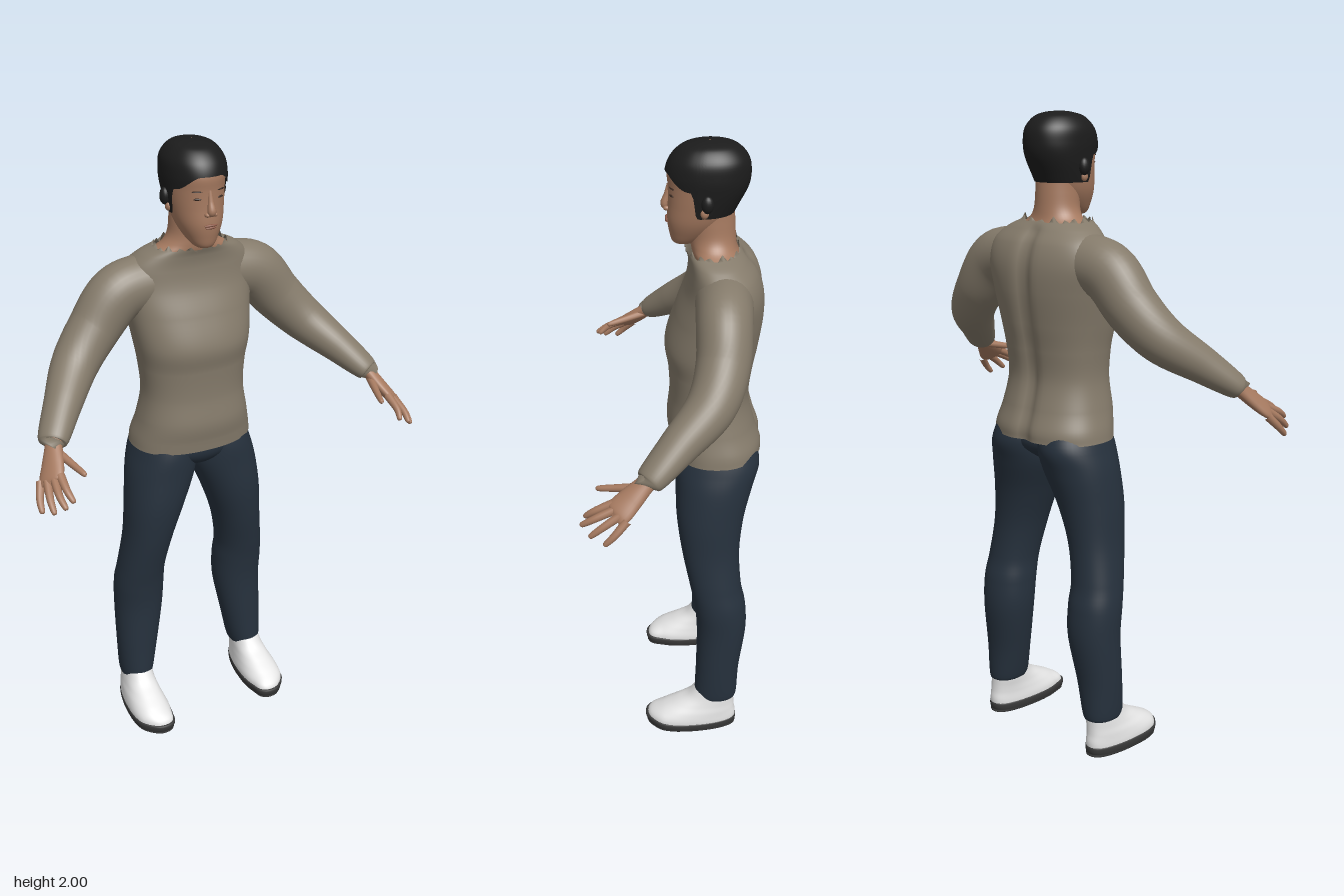
import * as THREE from 'three';
import { ParametricGeometry } from 'three/addons/geometries/ParametricGeometry.js';

const mat = (name, color, side = THREE.FrontSide) => {
  const m = new THREE.MeshStandardMaterial({ color, side });
  m.name = name;
  return m;
};
const V = (x, y, z) => new THREE.Vector3(x, y, z);
const smooth = THREE.MathUtils.smoothstep;
const spline = (pts) => new THREE.CatmullRomCurve3(pts, false, 'catmullrom', 0.5);
const bend = (c, p) => Math.sign(c) * Math.abs(c) ** p;

// Curves through upright body sections: rows of [y, centreX, frontZ, backZ, halfWidth]
const sections = (rows, s = 1) => ({
  mid: spline(rows.map(([y, cx, f, b]) => V(cx * s, y, (f + b) / 2))),
  rad: spline(rows.map(([, , f, b, rx]) => V(rx, 0, (f - b) / 2))),
});

// Point on a section ring; angle 0 faces forward
function ringPoint(sec, t, a, out, power = 1, grow = 0) {
  const c = sec.mid.getPoint(t), r = sec.rad.getPoint(t);
  return out.set(
    c.x + (r.x + grow) * bend(Math.sin(a), power), c.y,
    c.z + (r.z + grow) * bend(Math.cos(a), power));
}

// Upright skin over sections, with an optional rule that moves each point
const loft = (rows, { s = 1, power = 1, nu = 48, nv = 48, warp } = {}) => {
  const sec = sections(rows, s);
  return new ParametricGeometry((u, v, out) => {
    const a = (u - 0.5) * Math.PI * 2;
    ringPoint(sec, v, a, out, power);
    if (warp) warp(out, a, v);
  }, nu, nv);
};

// Limb along a path: rows of [x, y, z, radiusA, radiusB]; radiusA lies toward ref
const limb = (rows, s, ref = V(0, 1, 0), nu = 24, nv = 36) => {
  const path = spline(rows.map(([x, y, z]) => V(x * s, y, z)));
  const rad = spline(rows.map((r) => V(r[3], r[4], 0)));
  return new ParametricGeometry((u, v, out) => {
    const T = path.getTangent(v), r = rad.getPoint(v), a = u * Math.PI * 2;
    const A = ref.clone().addScaledVector(T, -ref.dot(T)).normalize();
    const B = T.clone().cross(A);
    out.copy(path.getPoint(v)).addScaledVector(A, r.x * Math.cos(a)).addScaledVector(B, r.y * Math.sin(a));
  }, nu, nv);
};

export function createModel() {
  const root = new THREE.Group();
  root.name = 'standingPerson';
  const skin = mat('skin', 0xa67a60);
  const wool = mat('sweaterTaupe', 0x857b6b, THREE.DoubleSide);
  const denim = mat('trouserNavy', 0x26313d, THREE.DoubleSide);
  const black = mat('hairBlack', 0x1c1c1c, THREE.DoubleSide);
  const white = mat('shoeWhite', 0xe6e6e6);
  const rubber = mat('soleGrey', 0x3a3a3a);
  const lip = mat('lipBrown', 0x8a5947);
  const dark = mat('eyeBrown', 0x3a2a22);
  const add = (name, geo, m, parent = root) => {
    const mesh = new THREE.Mesh(geo, m);
    mesh.name = name;
    parent.add(mesh);
    return mesh;
  };
  const blob = (name, m, p, r, parent) => {
    const mesh = add(name, new THREE.SphereGeometry(1, 16, 12), m, parent);
    mesh.position.set(...p);
    mesh.scale.set(...r);
    return mesh;
  };

  // Sweater body: spine groove at the back, ragged collar at the top
  add('sweaterBody', loft([
    [1.025, 0, 0.014, -0.272, 0.203], [1.06, 0, 0.018, -0.27, 0.198], [1.12, 0, 0.026, -0.25, 0.183],
    [1.21, 0, 0.018, -0.23, 0.168], [1.30, 0, 0.022, -0.238, 0.174], [1.38, 0, 0.032, -0.252, 0.187],
    [1.48, 0, 0.002, -0.265, 0.203], [1.56, 0, -0.028, -0.264, 0.215], [1.62, 0, -0.038, -0.246, 0.205],
    [1.66, 0, -0.036, -0.215, 0.165], [1.685, 0, -0.028, -0.188, 0.115],
  ], {
    power: 0.86, nu: 72, nv: 60,
    warp: (p, a, v) => {
      if (Math.cos(a) < 0) p.z += 0.016 * Math.exp(-((p.x / 0.028) ** 2)) * (1 - smooth(v, 0.85, 1));
      if (v > 0.99) p.y += 0.009 * Math.sin(a * 18) + 0.006 * Math.sin(a * 11);
    },
  }), wool);

  // Hips close the gap between the trouser legs
  add('trouserHips', loft([
    [0.935, 0, -0.08, -0.15, 0.01], [0.96, 0, -0.03, -0.2, 0.09], [1.0, 0, -0.002, -0.24, 0.185],
    [1.06, 0, 0, -0.235, 0.175],
  ], { nv: 16 }), denim);

  for (const s of [1, -1]) {
    const side = s > 0 ? 'left' : 'right';

    // Trouser leg from ankle hem to waist
    add(side + 'TrouserLeg', loft([
      [0.132, 0.216, -0.08, -0.19, 0.04], [0.133, 0.216, -0.065, -0.205, 0.054],
      [0.25, 0.206, -0.068, -0.212, 0.069], [0.40, 0.192, -0.07, -0.232, 0.082],
      [0.50, 0.190, -0.06, -0.228, 0.084], [0.58, 0.185, -0.045, -0.212, 0.079],
      [0.70, 0.165, -0.02, -0.205, 0.082], [0.82, 0.14, -0.003, -0.218, 0.098],
      [0.93, 0.112, 0, -0.246, 0.112], [1.0, 0.1, 0, -0.264, 0.105], [1.06, 0.09, -0.01, -0.25, 0.095],
    ], { s, power: 0.94 }), denim);

    // Shoe and sole, narrower at the heel with the toe turned slightly inward
    const foot = (p) => {
      const k = smooth(p.z, -0.2, 0.05), low = 1 - smooth(p.y, 0.05, 0.13);
      const off = p.x - s * 0.222;
      p.x = s * 0.222 + off * (1 - 0.2 * (1 - k) * low) - s * 0.012 * smooth(p.z, 0.04, 0.1) * low;
    };
    add(side + 'Shoe', loft([
      [0.022, 0.222, 0.1, -0.203, 0.07], [0.05, 0.222, 0.09, -0.204, 0.07], [0.075, 0.222, 0.052, -0.2, 0.064],
      [0.10, 0.22, 0.004, -0.198, 0.055], [0.125, 0.218, -0.04, -0.197, 0.05], [0.16, 0.216, -0.07, -0.195, 0.047],
    ], { s, power: 0.85, nv: 24, warp: foot }), white);
    add(side + 'Sole', loft([
      [0.001, 0.222, -0.04, -0.06, 0.003], [0.001, 0.222, 0.085, -0.19, 0.06], [0.014, 0.222, 0.1, -0.203, 0.071],
      [0.034, 0.222, 0.104, -0.206, 0.073], [0.038, 0.222, 0.09, -0.195, 0.062],
    ], { s, power: 0.85, nv: 20, warp: foot }), rubber);

    // Sleeve
    add(side + 'Sleeve', limb([
      [0.12, 1.575, -0.14, 0.085, 0.085], [0.235, 1.545, -0.137, 0.09, 0.082], [0.32, 1.45, -0.13, 0.082, 0.078],
      [0.40, 1.365, -0.093, 0.072, 0.072], [0.48, 1.288, -0.003, 0.055, 0.058],
      [0.545, 1.222, 0.075, 0.037, 0.046], [0.547, 1.22, 0.078, 0.022, 0.026],
    ], s, V(0, 1, 0), 32, 48), wool);

    // Hand: flattened palm with five tapering fingers
    const hand = new THREE.Group();
    hand.name = side + 'Hand';
    root.add(hand);
    add('palm', limb([
      [0.535, 1.235, 0.06, 0.026, 0.024], [0.55, 1.21, 0.09, 0.028, 0.021], [0.57, 1.175, 0.13, 0.037, 0.02],
      [0.59, 1.145, 0.165, 0.041, 0.016], [0.597, 1.135, 0.18, 0.028, 0.006],
    ], s, V(-0.05 * s, 0.03, 0.05)), skin, hand);
    const fingers = {
      thumb: [[0.545, 1.197, 0.105], [0.525, 1.182, 0.17], [0.508, 1.17, 0.23]],
      indexFinger: [[0.567, 1.16, 0.178], [0.568, 1.135, 0.23], [0.56, 1.11, 0.262]],
      middleFinger: [[0.583, 1.15, 0.172], [0.592, 1.125, 0.23], [0.588, 1.1, 0.272]],
      ringFinger: [[0.6, 1.14, 0.16], [0.613, 1.108, 0.21], [0.615, 1.078, 0.247]],
      littleFinger: [[0.614, 1.132, 0.14], [0.632, 1.095, 0.175], [0.637, 1.065, 0.205]],
    };
    for (const [name, [base, mid, tip]] of Object.entries(fingers)) {
      const near = mid.map((m, i) => m + (tip[i] - m) * 0.85);
      add(name, limb([[...base, 0.014, 0.013], [...mid, 0.011, 0.011], [...near, 0.008, 0.008],
        [...tip, 0.001, 0.001]], s, V(s, 0.2, 0.1), 12, 14), skin, hand);
    }
  }

  // Neck flaring into the shoulders
  add('neck', loft([
    [1.63, 0, -0.07, -0.2, 0.15], [1.665, 0, -0.052, -0.19, 0.128], [1.69, 0, -0.045, -0.181, 0.09],
    [1.72, 0, -0.042, -0.177, 0.071], [1.77, 0, -0.04, -0.174, 0.066], [1.83, 0, -0.05, -0.17, 0.064],
  ], { nv: 24 }), skin);

  // Head
  const headRows = [
    [1.69, 0, -0.015, -0.03, 0.003], [1.70, 0, 0.008, -0.06, 0.03], [1.73, 0, 0.018, -0.11, 0.052],
    [1.77, 0, 0.024, -0.15, 0.070], [1.82, 0, 0.022, -0.178, 0.080], [1.87, 0, 0.022, -0.203, 0.086],
    [1.91, 0, 0.024, -0.21, 0.088], [1.95, 0, 0.010, -0.203, 0.083], [1.98, 0, -0.02, -0.175, 0.060],
    [1.991, 0, -0.06, -0.14, 0.032], [1.994, 0, -0.095, -0.1, 0.002],
  ];
  const head = new THREE.Group();
  head.name = 'head';
  root.add(head);
  add('face', loft(headRows, { power: 0.95 }), skin, head);
  const headSec = sections(headRows);
  const headT = (y) => {
    let lo = 0, hi = 1;
    for (let i = 0; i < 24; i++) {
      const m = (lo + hi) / 2;
      if (headSec.mid.getPoint(m).y < y) lo = m; else hi = m;
    }
    return lo;
  };

  // Close-cropped hair: starts at the brow, drops past the ears to the nape
  add('hair', new ParametricGeometry((u, v, out) => {
    const a = (u - 0.5) * Math.PI * 2, b = Math.abs(a);
    const edge = 1.915 - 0.04 * smooth(b, 0.3, 1.1) - 0.08 * smooth(b, 1.15, 1.5);
    const t0 = headT(edge);
    ringPoint(headSec, t0 + (1 - t0) * v, a, out, 0.95, 0.007 * (1 - v ** 6));
    out.y += 0.006 * smooth(v, 0.3, 1);
  }, 80, 36), black, head);

  // Facial features sit on the head surface
  const faceZ = (x, y) => {
    const t = headT(y), c = headSec.mid.getPoint(t), r = headSec.rad.getPoint(t);
    return c.z + r.z * Math.sqrt(1 - (x / r.x) ** 2);
  };
  add('nose', limb([[0, 1.872, 0.016, 0.006, 0.008], [0, 1.84, 0.024, 0.009, 0.009], [0, 1.812, 0.031, 0.013, 0.012],
    [0, 1.798, 0.024, 0.008, 0.004]], 1, V(1, 0, 0), 16, 16), skin, head);
  blob('upperLip', lip, [0, 1.77, faceZ(0, 1.77) + 0.001], [0.022, 0.004, 0.005], head);
  blob('lowerLip', lip, [0, 1.763, faceZ(0, 1.763) + 0.001], [0.018, 0.004, 0.005], head);
  for (const s of [1, -1]) {
    const side = s > 0 ? 'left' : 'right';
    blob(side + 'Nostril', skin, [0.012 * s, 1.803, 0.025], [0.008, 0.007, 0.01], head);
    blob(side + 'Eye', dark, [0.036 * s, 1.849, faceZ(0.036, 1.849)], [0.013, 0.0035, 0.004], head).rotation.y = 0.35 * s;
    blob(side + 'Brow', dark, [0.037 * s, 1.871, faceZ(0.037, 1.871)], [0.018, 0.0025, 0.004], head).rotation.y = 0.35 * s;
    blob(side + 'Ear', black, [0.093 * s, 1.842, -0.09], [0.015, 0.026, 0.018], head);
    blob(side + 'EarLobe', skin, [0.086 * s, 1.812, -0.082], [0.009, 0.014, 0.012], head);
  }
  return root;
}
